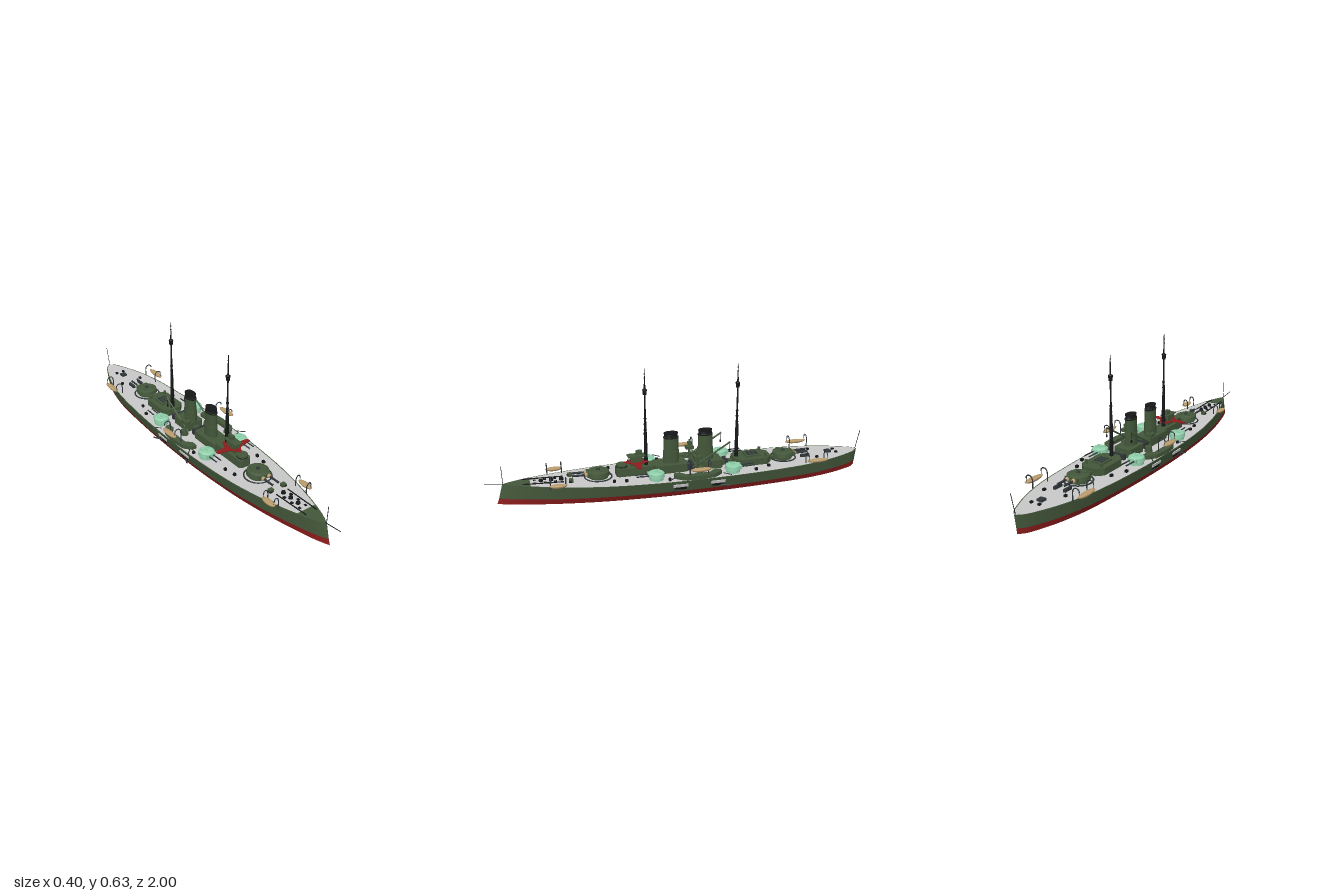
import * as THREE from 'three';
import { toCreasedNormals } from 'three/addons/utils/BufferGeometryUtils.js';

const mat = (name, color) => Object.assign(new THREE.MeshStandardMaterial({ color }), { name });
const M = {
  green: mat('olive green', 0x43573a), red: mat('hull red', 0x8c1c1c), deck: mat('deck grey', 0xc8c8c8),
  black: mat('black', 0x151719), mint: mat('pale mint', 0x8fcfab), tan: mat('boat tan', 0xb89b6c),
  dark: mat('gunmetal', 0x30363a),
};
const V = (x, y, z) => new THREE.Vector3(x, y, z);

export function createModel() {
  const ship = new THREE.Group();
  ship.name = 'battleship';

  function add(name, geo, m, x = 0, y = 0, z = 0, parent = ship) {
    const mesh = new THREE.Mesh(geo, m);
    mesh.name = name;
    mesh.position.set(x, y, z);
    parent.add(mesh);
    return mesh;
  }
  // box and cylinder stand on the given y
  const box = (name, m, w, h, d, x, y, z, p) => add(name, new THREE.BoxGeometry(w, h, d), m, x, y + h / 2, z, p);
  const cyl = (name, m, rt, rb, h, x, y, z, p, n = 16) =>
    add(name, new THREE.CylinderGeometry(rt, rb, h, n), m, x, y + h / 2, z, p);
  const tube = (name, m, r, pts, p) => add(name, new THREE.TubeGeometry(
    pts.length > 2 ? new THREE.CatmullRomCurve3(pts) : new THREE.LineCurve3(...pts),
    pts.length > 2 ? 12 : 1, r, 6), m, 0, 0, 0, p);
  // vertical prism from an x,z outline
  function prism(name, m, outline, y, h) {
    const shape = new THREE.Shape(outline.map(([x, z]) => new THREE.Vector2(x, -z)));
    const geo = new THREE.ExtrudeGeometry(shape, { depth: h, bevelEnabled: false });
    return add(name, geo.rotateX(-Math.PI / 2), m, 0, y, 0);
  }
  const chamfer = (cx, cz, w, d, c) => [[w - c, -d], [w, c - d], [w, d - c], [w - c, d], [c - w, d],
    [-w, d - c], [-w, c - d], [c - w, -d]].map(([x, z]) => [cx + x, cz + z]);

  // ---- Hull: deck edge curve lofted down to the waterline and flat bottom
  const edge = new THREE.CatmullRomCurve3([
    [0, .102, .915], [.025, .1, .87], [.052, .098, .8], [.083, .094, .7], [.108, .091, .6], [.136, .087, .45],
    [.153, .085, .3], [.166, .084, .1], [.168, .084, -.1], [.163, .084, -.3], [.15, .085, -.5],
    [.133, .087, -.65], [.097, .089, -.8], [.058, .09, -.9], [.033, .091, -.95], [0, .092, -.983],
  ].map(a => V(...a))).getPoints(48);
  const level = (f, y, bow, stern) => edge.map(p => V(p.x * f, y,
    p.z + (p.z > 0 ? bow * (p.z / .915) ** 4 : stern * (p.z / .983) ** 4)));
  const rows = {
    keel: level(.83, 0, .03, .012), water: level(.92, .028, .02, .008), edge,
    rim: edge.map(p => V(Math.max(p.x - .005, 0), p.y, p.z)),
  };
  function quads(list) {
    const pos = [];
    for (const [a, b, c, d] of list) for (const v of [a, b, c, a, c, d]) pos.push(v.x, v.y, v.z);
    const g = new THREE.BufferGeometry();
    g.setAttribute('position', new THREE.Float32BufferAttribute(pos, 3));
    g.computeVertexNormals();
    return toCreasedNormals(g, .5);
  }
  const flip = p => V(-p.x, p.y, p.z);
  function strip(name, m, lo, hi) {
    const q = [];
    for (let i = 0; i < lo.length - 1; i++) {
      q.push([lo[i], lo[i + 1], hi[i + 1], hi[i]]);
      q.push([flip(lo[i + 1]), flip(lo[i]), flip(hi[i]), flip(hi[i + 1])]);
    }
    add(name, quads(q), m);
  }
  function cap(name, m, row, up) {
    const q = row.slice(1).map((p, i) => [row[i], p, flip(p), flip(row[i])]);
    add(name, quads(up ? q : q.map(a => a.reverse())), m);
  }
  strip('lowerHull', M.red, rows.keel, rows.water);
  strip('upperHull', M.green, rows.water, rows.edge);
  strip('gunwale', M.green, rows.edge, rows.rim);
  cap('bottom', M.black, rows.keel, false);
  const split = rows.rim.findIndex(p => p.z < .79);
  cap('foredeckCover', M.green, rows.rim.slice(0, split + 1), true);
  cap('deck', M.deck, rows.rim.slice(split), true);

  // ---- Deckhouses
  const D = .082;
  prism('aftDeckhouse', M.green, chamfer(0, -.365, .065, .1, .03), D, .038);
  box('aftSkylightBase', M.green, .07, .008, .08, 0, D + .038, -.37);
  for (let i = 0; i < 3; i++) for (const x of [-.018, 0, .018])
    box('skylight', M.dark, .012, .003, .014, x, D + .046, -.392 + i * .022);
  prism('aftFunnelHouse', M.green, chamfer(0, -.135, .05, .062, .008), D, .045);
  prism('foreFunnelHouse', M.green, chamfer(0, .075, .05, .085, .008), D, .045);
  box('midPassage', M.green, .03, .025, .56, 0, D, -.02);
  for (const z of [-.225, -.04, -.015]) for (const x of [-.028, 0, .028]) box('locker', M.dark, .02, .03, .016, x, D, z);
  prism('bridgeHouse', M.green, chamfer(0, .255, .035, .1, .012), D, .045);
  cyl('conningTower', M.green, .028, .03, .062, 0, D, .325);
  cyl('conningSlit', M.black, .0285, .0288, .004, 0, .13, .325);

  // ---- Bridge with swept red platform
  box('bridgeTower', M.green, .036, .05, .06, 0, .125, .25);
  prism('bridgePlatform', M.red, [[0, .315], [.03, .275], [.1, .26], [.1, .24], [.04, .235], [.02, .19],
    [-.02, .19], [-.04, .235], [-.1, .24], [-.1, .26], [-.03, .275]], .146, .004);
  box('wheelhouse', M.green, .034, .026, .05, 0, .15, .255);
  box('wheelhouseRoof', M.green, .045, .006, .09, 0, .178, .25);
  box('lookoutBox', M.green, .02, .022, .03, 0, .184, .235);

  // ---- Funnels
  for (const z of [.068, -.114]) {
    const f = new THREE.Group();
    f.name = 'funnel';
    f.position.z = z;
    f.scale.z = 1.5;
    cyl('funnelBase', M.green, .028, .028, .07, 0, .12, 0, f, 24);
    cyl('funnelPipe', M.green, .0255, .0255, .075, 0, .19, 0, f, 24);
    cyl('funnelBand', M.black, .0265, .0265, .006, 0, .258, 0, f, 24);
    cyl('funnelTop', M.black, .022, .0245, .016, 0, .264, 0, f, 24);
    cyl('funnelLip', M.black, .0245, .0245, .006, 0, .28, 0, f, 24);
    ship.add(f);
  }

  // ---- Masts
  for (const [z, top, base] of [[.2, .63, .12], [-.285, .62, .1]]) {
    const m = new THREE.Group();
    m.name = 'mast';
    m.position.z = z;
    cyl('mastFoot', M.black, .008, .011, .3 - base, 0, base, 0, m, 10);
    cyl('lowerMast', M.black, .005, .007, .09, 0, .3, 0, m, 10);
    cyl('midMast', M.black, .004, .0045, .16, 0, .39, 0, m, 10);
    cyl('topMast', M.black, .0018, .003, top - .55, 0, .55, 0, m, 8);
    cyl('crowsNest', M.black, .012, .009, .026, 0, .496, 0, m, 12);
    cyl('nestRoof', M.black, .008, .011, .004, 0, .522, 0, m, 12);
    for (const y of [.31, .34, .37, .58, .6]) cyl('mastCollar', M.black, y > .5 ? .004 : .008, y > .5 ? .004 : .008, .004, 0, y, 0, m, 8);
    ship.add(m);
  }

  // ---- Turrets: dir is +1 facing the bow, -1 facing the stern
  function turret(name, m, x, z, r, dir, reach, gap, main) {
    const t = new THREE.Group();
    t.name = name;
    t.position.set(x, D, z);
    t.rotation.y = dir > 0 ? 0 : Math.PI;
    cyl('barbette', m, r * .85, r * .85, .022, 0, 0, 0, t, 20);
    cyl('gunhouse', m, r * .94, r, .02, 0, .018, 0, t, 20);
    cyl('gunhouseRoof', m, r * .7, r * .94, .006, 0, .038, 0, t, 20);
    box('gunShield', m, r * 1.2, .02, r * .5, 0, .018, r * .75, t);
    cyl('sightHood', main ? M.dark : m, r * .16, r * .18, .006, 0, .043, 0, t, 10);
    for (const s of [1, -1]) {
      tube('gunBarrel', M.dark, main ? .0055 : .0035, [V(s * gap, .028, r * .7), V(s * gap, .03, reach)], t);
      if (main) add('gunBag', new THREE.SphereGeometry(.011, 12, 8), M.tan, s * gap, .028, r + .003, t);
      box('roofHood', m, r * .22, .006, r * .3, s * r * .45, .041, -r * .3, t);
    }
    if (main) {
      const ring = add('turretRail', new THREE.TorusGeometry(.068, .004, 6, 32), M.dark, 0, .006, 0, t);
      ring.rotation.x = Math.PI / 2;
    }
    ship.add(t);
  }
  turret('foreTurret', M.green, 0, .445, .058, 1, .135, .018, true);
  turret('aftTurret', M.green, 0, -.548, .058, -1, .135, .018, true);
  for (const s of [1, -1]) {
    turret('foreWingTurret', M.mint, s * .103, .17, .042, 1, .105, .013, false);
    turret('aftWingTurret', M.mint, s * .108, -.23, .042, -1, .115, .013, false);
  }

  // ---- Boats hung on curved davits
  function boat(s, x, y, z, len, foot, top) {
    const g = new THREE.Group();
    g.name = 'boatStation';
    const hull = add('boatHull', new THREE.SphereGeometry(1, 16, 5, 0, Math.PI * 2, Math.PI / 2, Math.PI / 2), M.tan, s * x, y, z, g);
    hull.scale.set(.017, .014, len);
    const cover = add('boatCover', new THREE.SphereGeometry(1, 16, 4, 0, Math.PI * 2, 0, Math.PI / 2), M.tan, s * x, y, z, g);
    cover.scale.set(.0175, .006, len);
    for (const e of [1, -1]) {
      const dz = z + e * len * .85, mid = (foot + x) / 2;
      tube('davit', M.dark, .0028, [V(s * foot, D, dz), V(s * foot, top - .018, dz), V(s * (foot + .006), top - .005, dz),
        V(s * mid, top, dz), V(s * (x - .003), top - .006, dz), V(s * x, top - .018, dz)], g);
      tube('boatFall', M.dark, .0008, [V(s * x, top - .018, dz), V(s * x, y, dz)], g);
    }
    ship.add(g);
  }

  for (const s of [1, -1]) {
    boat(s, .182, .146, -.04, .056, .147, .185);
    boat(s, .112, .11, .655, .043, .086, .145);
    boat(s, .148, .112, -.685, .06, .112, .15);

    // side battery house and its embrasure guns
    prism('sideBattery', M.green, [[.158, -.12], [.165, -.04], [.158, .04], [.125, .08], [.1, .08], [.1, .045],
      [.128, .02], [.128, -.1], [.1, -.13], [.1, -.165], [.125, -.165]].map(([x, z]) => [s * x, z]), D, .022);
    for (const [z, e] of [[.06, 1], [-.135, -1]]) {
      const port = box('embrasure', M.deck, .006, .015, .075, s * .163, .054, z);
      const slot = box('embrasureSlot', M.black, .006, .012, .06, s * .16, .04, z);
      port.rotation.z = slot.rotation.z = -s * .23;
      tube('sideGun', M.dark, .004, [V(s * .152, .043, z), V(s * .186, .043, z + e * .055)]);
      tube('deckGun', M.dark, .0025, [V(s * .15, .1, z + e * .03), V(s * .185, .1, z + e * .065)]);
    }

    // boat crane
    cyl('cranePedestal', M.green, .018, .02, .03, s * .073, D, -.065);
    cyl('cranePost', M.green, .005, .007, .1, s * .073, .11, -.05, ship, 10);
    box('craneCab', M.green, .034, .017, .04, s * .073, .16, -.05);
    box('craneHead', M.green, .016, .012, .02, s * .073, .187, -.05);
    tube('craneBoom', M.green, .0045, [V(s * .073, .115, -.03), V(s * .073, .232, -.225)]);
    tube('craneFall', M.black, .001, [V(s * .073, .232, -.22), V(s * .073, .185, -.22)]);
    box('craneHook', M.black, .006, .012, .006, s * .073, .18, -.22);

    // deck fittings
    for (const [x, z] of [[.02, .66], [.02, .71], [.018, .76], [.045, .59], [.022, -.85], [.06, -.72], [.1, -.43],
      [.13, -.35], [.14, .11], [.09, .38], [.1, .32]]) box('bollard', M.black, .012, .012, .014, s * x, .086, z);
    tube('anchorChain', M.black, .003, [V(s * .035, .095, .62), V(s * .032, .102, .82)]);
    box('breakwaterLocker', M.green, .024, .022, .02, s * .038, .084, .585);
    cyl('ventilator', M.green, .007, .007, .04, s * .045, .1, -.43, ship, 10);
    box('aftLocker', M.dark, .012, .02, .05, s * .028, D, -.665);
  }
  for (const z of [.63, .68, .73]) cyl('capstan', M.black, .01, .012, .016, 0, .088, z, ship, 12);
  box('aftHatch', M.dark, .03, .012, .03, 0, .088, -.81);
  box('mainHatch', M.green, .03, .022, .04, 0, D, -.485);

  // ---- Flagstaffs and bowsprit
  tube('bowStaff', M.black, .0015, [V(0, .1, .912), V(0, .195, .915)]);
  tube('bowsprit', M.black, .0018, [V(0, .1, .9), V(0, .112, 1)]);
  tube('sternStaff', M.black, .0015, [V(0, .09, -.975), V(0, .195, -.998)]);
  return ship;
}
